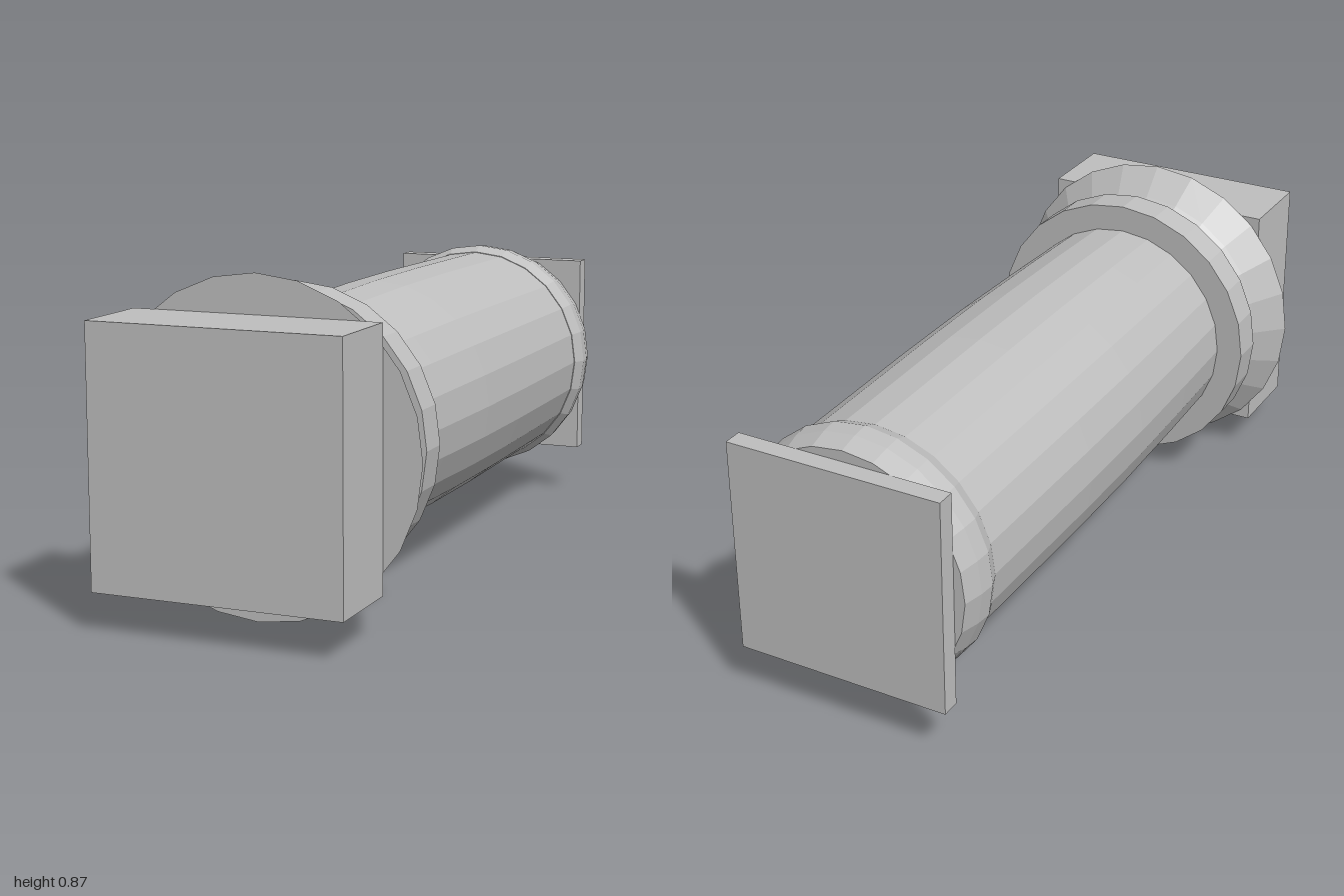
import * as THREE from 'three';

const AXIS_Y = 0.435; // height of the column's axis
const SIDES = 24;

export function createModel() {
  const model = new THREE.Group();
  model.name = 'lyingColumn';
  const stone = new THREE.MeshStandardMaterial({ color: 0xbfbfbf, flatShading: true });
  stone.name = 'grey stone';

  function add(name, geometry) {
    const mesh = new THREE.Mesh(geometry, stone);
    mesh.name = name;
    mesh.position.y = AXIS_Y;
    model.add(mesh);
  }

  // Turned part: [radius, z] pairs from back to front, closed at both ends
  function turned(name, profile) {
    const closed = [[0, profile[0][1]], ...profile, [0, profile[profile.length - 1][1]]];
    const points = closed.map(([r, z]) => new THREE.Vector2(r, z));
    add(name, new THREE.LatheGeometry(points, SIDES).rotateX(Math.PI / 2));
  }

  // Square block between two z positions
  function block(name, size, back, front) {
    add(name, new THREE.BoxGeometry(size, size, front - back).translate(0, 0, (front + back) / 2));
  }

  // Square ends
  block('basePlinth', 0.662, 0.762, 1);
  block('topPlate', 0.592, -1, -0.948);

  // Flared foot and the ring above it
  turned('flaredFoot', [[0.302, 0.62], [0.362, 0.692], [0.433, 0.762]]);
  turned('footRing', [[0.389, 0.532], [0.389, 0.624]]);

  // Slightly swelling shaft
  turned('shaft', [[0.325, -0.81], [0.33, -0.3], [0.329, 0], [0.322, 0.3], [0.314, 0.54]]);

  // Rounded collar at the far end
  turned('collar', [[0.326, -0.948], [0.339, -0.89], [0.343, -0.845], [0.327, -0.805]]);

  return model;
}
